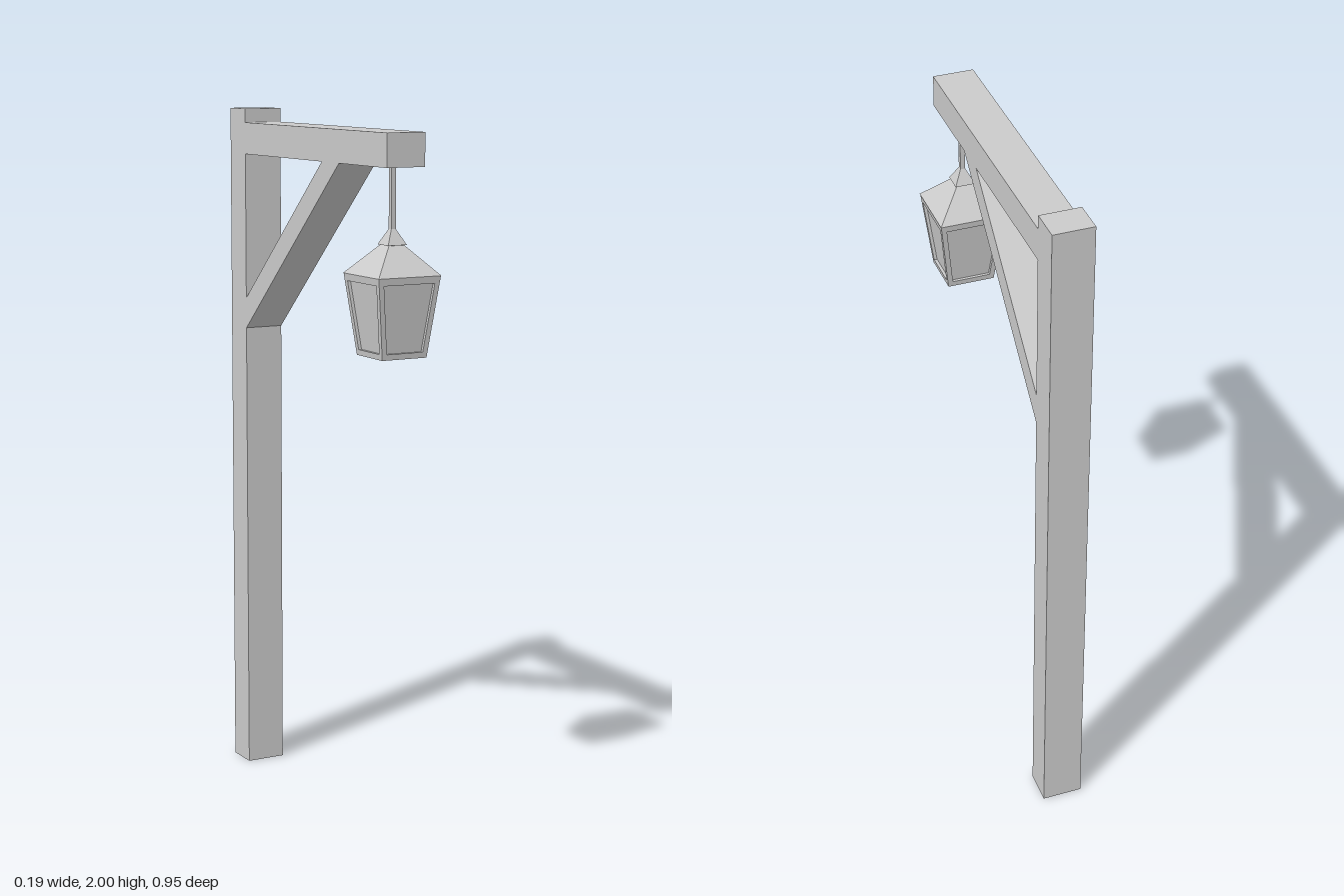
import * as THREE from 'three';

const material = new THREE.MeshStandardMaterial({ color: 0xcccccc, flatShading: true });
const WIDTH = 0.117, POST_X = -0.004;

function add(parent, name, geometry, x = 0, y = 0, z = 0) {
  const mesh = new THREE.Mesh(geometry, material);
  mesh.name = name;
  mesh.position.set(x, y, z);
  parent.add(mesh);
  return mesh;
}

// Square frustum with half widths at top and bottom, faces square to the axes
function frustum(topHalf, bottomHalf, height) {
  const k = Math.SQRT2;
  return new THREE.CylinderGeometry(topHalf * k, bottomHalf * k, height, 4).rotateY(Math.PI / 4);
}

// One lantern side: sloping frame around a recessed pane, made from nested loops
function lanternSide(bottom, top, bottomHalf, topHalf) {
  const half = y => THREE.MathUtils.mapLinear(y, bottom, top, bottomHalf, topHalf);
  const loop = (low, high, margin, depth) => [
    [-half(low) + margin, low, half(low) - depth],
    [half(low) - margin, low, half(low) - depth],
    [half(high) - margin, high, half(high) - depth],
    [-half(high) + margin, high, half(high) - depth],
  ];
  const loops = [
    loop(bottom, top, 0, 0),
    loop(bottom + 0.016, top - 0.02, 0.015, 0),
    loop(bottom + 0.016, top - 0.02, 0.015, 0.009),
  ];
  const points = [];
  const quad = (a, b, c, d) => points.push(...a, ...b, ...c, ...a, ...c, ...d);
  for (let r = 0; r < 2; r++) {
    for (let i = 0; i < 4; i++) {
      const j = (i + 1) % 4;
      quad(loops[r][i], loops[r][j], loops[r + 1][j], loops[r + 1][i]);
    }
  }
  quad(...loops[2]);
  const geometry = new THREE.BufferGeometry();
  geometry.setAttribute('position', new THREE.Float32BufferAttribute(points, 3));
  geometry.computeVertexNormals();
  return geometry;
}

export function createModel() {
  const model = new THREE.Group();
  model.name = 'lanternPost';

  // Upright and horizontal timbers
  add(model, 'post', new THREE.BoxGeometry(WIDTH, 2, 0.097), POST_X, 1, -0.4255);
  add(model, 'beam', new THREE.BoxGeometry(WIDTH, 0.092, 0.832), POST_X, 1.914, 0.039);

  // Diagonal brace: side outline (z, y) extruded across the width
  const outline = new THREE.Shape([
    [-0.377, 1.352], [0.193, 1.868], [0.095, 1.868], [-0.377, 1.442],
  ].map(([z, y]) => new THREE.Vector2(-z, y)));
  const brace = new THREE.ExtrudeGeometry(outline, { depth: WIDTH, bevelEnabled: false });
  brace.translate(0, 0, -WIDTH / 2).rotateY(Math.PI / 2);
  add(model, 'brace', brace, POST_X);

  // Hanging lantern
  const lantern = new THREE.Group();
  lantern.name = 'lantern';
  lantern.position.z = 0.377;
  model.add(lantern);
  add(lantern, 'hangingRod', new THREE.BoxGeometry(0.014, 0.18, 0.014), 0, 1.78, 0);
  add(lantern, 'cap', frustum(0.007, 0.029, 0.042), 0, 1.679, 0);
  add(lantern, 'capNeck', frustum(0.022, 0.022, 0.012), 0, 1.655, 0);
  add(lantern, 'roof', frustum(0.024, 0.097, 0.079), 0, 1.6175, 0);
  for (let i = 0; i < 4; i++) {
    add(lantern, 'lanternSide', lanternSide(1.355, 1.578, 0.069, 0.096)).rotation.y = i * Math.PI / 2;
  }
  add(lantern, 'lanternBase', new THREE.PlaneGeometry(0.138, 0.138).rotateX(Math.PI / 2), 0, 1.355, 0);

  return model;
}
